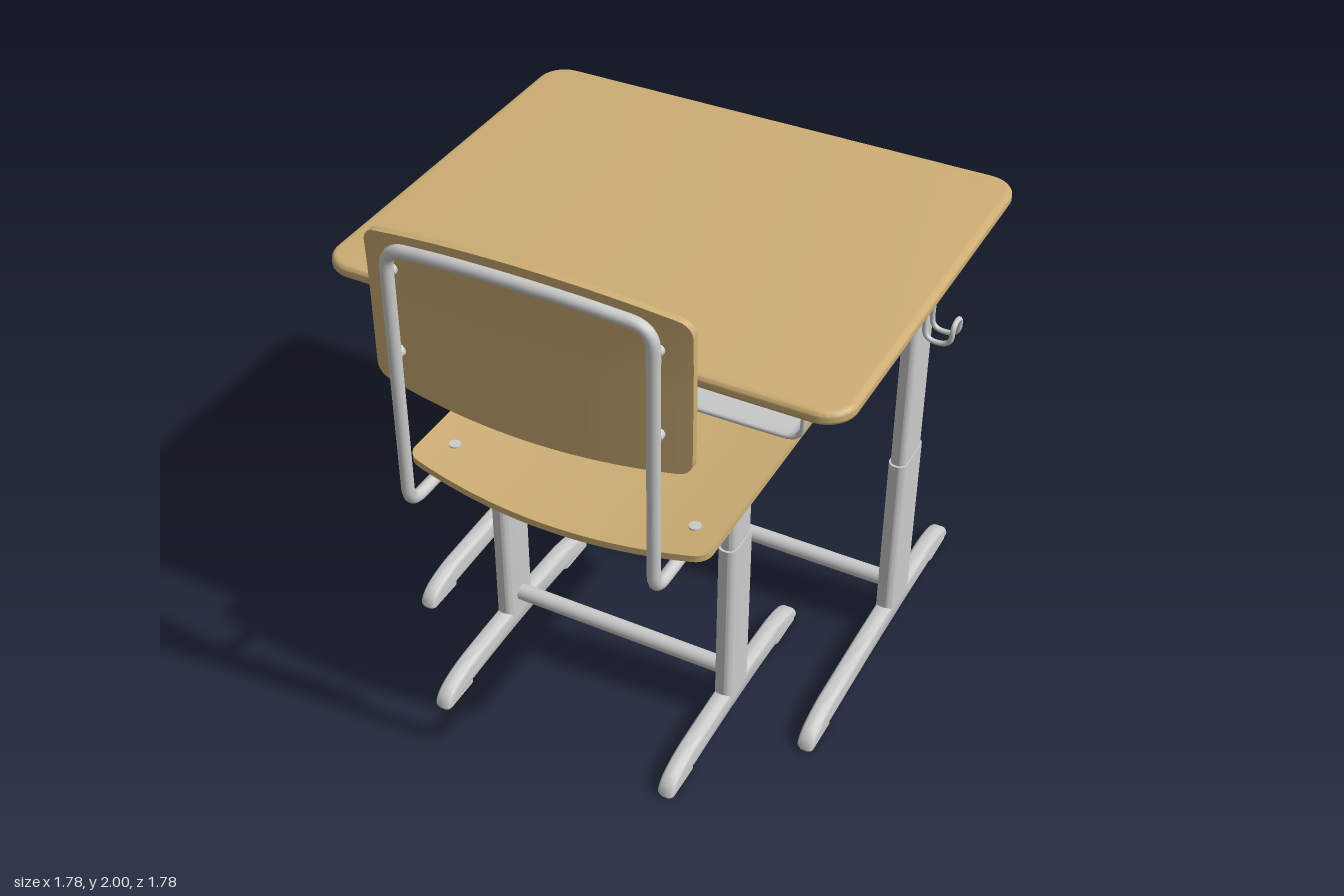
import * as THREE from 'three';
import { toCreasedNormals } from 'three/addons/utils/BufferGeometryUtils.js';

const metal = new THREE.MeshStandardMaterial({ color: 0xcccccc });
const sheet = new THREE.MeshStandardMaterial({ color: 0xcccccc, side: THREE.DoubleSide });
const wood = new THREE.MeshStandardMaterial({ color: 0xcdae74 });
const V = (x, y, z) => new THREE.Vector3(x, y, z);

function add(parent, name, geometry, material, x = 0, y = 0, z = 0) {
  const mesh = new THREE.Mesh(geometry, material);
  mesh.name = name;
  mesh.position.set(x, y, z);
  parent.add(mesh);
  return mesh;
}

// Rounded rectangle centred on the origin
function roundedRect(w, h, r) {
  const s = new THREE.Shape(), a = w / 2 - r, b = h / 2 - r;
  s.absarc(a, b, r, 0, Math.PI / 2);
  s.absarc(-a, b, r, Math.PI / 2, Math.PI);
  s.absarc(-a, -b, r, Math.PI, Math.PI * 1.5);
  s.absarc(a, -b, r, Math.PI * 1.5, Math.PI * 2);
  s.closePath();
  return s;
}

// Extrusion of total depth d, centred in depth; the bevel lies inside the outline
function extrude(shape, d, bevel = 0) {
  const g = new THREE.ExtrudeGeometry(shape, {
    depth: d - 2 * bevel, bevelEnabled: bevel > 0, bevelSize: bevel,
    bevelThickness: bevel, bevelOffset: -bevel, bevelSegments: 4, curveSegments: 10,
  });
  g.translate(0, 0, -d / 2 + bevel);
  return toCreasedNormals(g, 0.6);
}

// Skin over a list of equally long cross-sections
function loft(rings, closed, startCap, endCap) {
  const n = rings[0].length, last = (rings.length - 1) * n, index = [];
  for (let i = 0; i < rings.length - 1; i++) {
    for (let j = 0; j < (closed ? n : n - 1); j++) {
      const a = i * n + j, b = i * n + (j + 1) % n;
      index.push(a, b, a + n, b, b + n, a + n);
    }
  }
  for (let j = 1; j < n - 1; j++) {
    if (startCap) index.push(0, j + 1, j);
    if (endCap) index.push(last, last + j, last + j + 1);
  }
  const g = new THREE.BufferGeometry().setFromPoints(rings.flat());
  g.setIndex(index);
  return toCreasedNormals(g, 0.6);
}

// Polyline with rounded corners, swept into a tube; each point is [vector, corner radius]
function bentTube(points, radius, segments) {
  const path = new THREE.CurvePath();
  let from = points[0][0];
  for (let i = 1; i < points.length - 1; i++) {
    const [p, r] = points[i];
    const before = p.clone().add(points[i - 1][0].clone().sub(p).setLength(r));
    const after = p.clone().add(points[i + 1][0].clone().sub(p).setLength(r));
    path.add(new THREE.LineCurve3(from, before));
    path.add(new THREE.QuadraticBezierCurve3(before, p, after));
    from = after;
  }
  path.add(new THREE.LineCurve3(from, points[points.length - 1][0]));
  return new THREE.TubeGeometry(path, segments, radius, 12);
}

// Curved plywood: lo/hi give the outline at each x, place() bends it into space
const HALF = 0.53;
function plywood(lo, hi, place) {
  const rings = [], cols = 36, rows = 14, r = 0.04;
  for (let i = 0; i <= cols; i++) {
    const x = HALF * Math.sin((i / cols - 0.5) * Math.PI), q = (x / HALF) ** 2;
    const d = Math.max(0, Math.abs(x) - (HALF - r));
    const corner = r - Math.sqrt(Math.max(0, r * r - d * d));
    const a = lo(q) + corner, b = hi(q) - corner, ring = [];
    for (let k = 0; k <= rows; k++) ring.push(place(x, q, a + (b - a) * k / rows, 1));
    for (let k = rows; k >= 0; k--) ring.push(place(x, q, a + (b - a) * k / rows, -1));
    rings.push(ring);
  }
  return loft(rings, true, true, true);
}

// Runner foot with two floor pads, from z0 (back) to z1 (front)
function addFoot(parent, x, z0, z1) {
  const s = new THREE.Shape(), m = (z0 + z1) / 2;
  s.moveTo(z0, 0.012);
  s.bezierCurveTo(z0 + 0.005, 0.07, z0 + 0.08, 0.09, z0 + 0.18, 0.1);
  s.quadraticCurveTo(m, 0.115, z1 - 0.18, 0.1);
  s.bezierCurveTo(z1 - 0.08, 0.09, z1 - 0.005, 0.07, z1, 0.012);
  s.lineTo(z1 - 0.18, 0.012);
  s.quadraticCurveTo(m, 0.03, z0 + 0.18, 0.012);
  s.closePath();
  add(parent, 'foot', extrude(s, 0.06, 0.018).rotateY(-Math.PI / 2), metal, x);
  for (const z of [z0 + 0.09, z1 - 0.09])
    add(parent, 'footPad', extrude(roundedRect(0.05, 0.17, 0.02), 0.02).rotateX(-Math.PI / 2), metal, x, 0.01, z);
}

// Oval telescopic post: a sleeve below and a slimmer tube above
function addPost(parent, x, z, depth, top) {
  const oval = (w, d, h) => extrude(roundedRect(w, d, w * 0.45), h).rotateX(-Math.PI / 2);
  add(parent, 'postSleeve', oval(0.064, depth, 0.67), metal, x, 0.415, z);
  add(parent, 'postTube', oval(0.056, depth - 0.018, top - 0.7), metal, x, (top + 0.7) / 2, z);
}

function addCrossbar(parent, halfWidth, z) {
  add(parent, 'crossbar', new THREE.CylinderGeometry(0.03, 0.03, halfWidth * 2, 20).rotateZ(Math.PI / 2), metal, 0, 0.16, z);
}

function createDesk() {
  const desk = new THREE.Group();
  desk.name = 'desk';
  add(desk, 'deskTop', extrude(roundedRect(1.78, 1.46, 0.1), 0.048, 0.018).rotateX(-Math.PI / 2), wood, 0, 1.568, -0.16);

  // Storage tray, open towards the seat; each section is [z, half width, bottom, corner radius]
  const section = (z, hw, yb, r) => {
    const pts = [V(hw, 1.546, z)];
    for (const side of [1, -1]) for (let i = 0; i <= 6; i++) {
      const a = (side > 0 ? i : 6 - i) / 6 * Math.PI / 2;
      pts.push(V(side * (hw - r + r * Math.cos(a)), yb + r - r * Math.sin(a), z));
    }
    pts.push(V(-hw, 1.546, z));
    return pts;
  };
  const rings = [[0.43, 0.705, 1.357], [0.24, 0.705, 1.357], [0.23, 0.715, 1.349], [0.1, 0.715, 1.349], [0.09, 0.705, 1.357]]
    .map(([z, hw, yb]) => section(z, hw, yb, 0.05));
  for (let i = 0; i <= 6; i++) {
    const a = i / 6 * Math.PI / 2, c = 1 - Math.cos(a);
    rings.push(section(-0.69 - 0.07 * Math.sin(a), 0.705 - 0.07 * c, 1.357 + 0.035 * c, 0.05));
  }
  add(desk, 'tray', loft(rings, false, false, true), sheet);
  const rim = new THREE.CatmullRomCurve3(section(0.425, 0.705, 1.355, 0.05), false, 'centripetal');
  add(desk, 'trayRim', new THREE.TubeGeometry(rim, 80, 0.009, 8), metal);

  const z = -0.39;
  for (const s of [1, -1]) {
    addFoot(desk, s * 0.75, -0.89, 0.37);
    addPost(desk, s * 0.75, z, 0.185, 1.545);
    add(desk, 'mountingPlate', new THREE.CylinderGeometry(0.18, 0.17, 0.014, 32).scale(0.55, 1, 1), metal, s * 0.75, 1.539, z);
    // Flared bracket between post and tray
    const b = new THREE.Shape();
    b.moveTo(s * 0.74, 1.25);
    b.lineTo(s * 0.722, 1.25);
    b.quadraticCurveTo(s * 0.718, 1.34, s * 0.65, 1.346);
    b.lineTo(s * 0.65, 1.36);
    b.lineTo(s * 0.715, 1.4);
    b.lineTo(s * 0.715, 1.54);
    b.lineTo(s * 0.74, 1.54);
    b.closePath();
    add(desk, 'trayBracket', extrude(b, 0.19, 0.006), metal, 0, 0, z);
    // Bag hook bent from one wire
    const side = dz => [[V(s * 0.786, 1.51, z + dz), 0], [V(s * 0.786, 1.257, z + dz), 0.045], [V(s * 0.88, 1.257, z + dz), 0.045]];
    const hook = [...side(0.034), [V(s * 0.88, 1.335, z + 0.034), 0.032], [V(s * 0.88, 1.335, z - 0.034), 0.032], ...side(-0.034).reverse()];
    add(desk, 'bagHook', bentTube(hook, 0.009, 120), metal);
  }
  addCrossbar(desk, 0.74, z);
  return desk;
}

function createChair() {
  const chair = new THREE.Group(), t = 0.012, tubeX = 0.43;
  chair.name = 'chair';
  // Dished seat with a dropped front edge
  add(chair, 'seat', plywood(q => -0.23 + 0.05 * q, q => 0.75 - 0.06 * q, (x, q, z, side) =>
    V(x, 0.987 + 0.035 * q - 0.025 * (Math.max(0, -0.09 - z) / 0.14) ** 2 + side * t, z)), wood);
  // Backrest wrapping forwards at the sides
  add(chair, 'backrest', plywood(q => 1.385 + 0.04 * q, q => 2.0 - 0.06 * q, (x, q, y, side) =>
    V(x, y, 0.823 - 0.04 * q + 0.012 * Math.max(0, (y - 1.7) / 0.3) ** 2 - side * t)), wood);

  // One bent tube carries seat and backrest
  const half = s => [
    [V(s * tubeX, 0.975, -0.11), 0], [V(s * tubeX, 0.975, 0.84), 0.07],
    [V(s * tubeX, 1.925, 0.84), 0.07], [V(s * 0.22, 1.957, 0.866), 0.08],
  ];
  add(chair, 'frameTube', bentTube([...half(1), [V(0, 1.966, 0.873), 0.1], ...half(-1).reverse()], 0.021, 260), metal);

  for (const s of [1, -1]) {
    addFoot(chair, s * tubeX, -0.22, 0.77);
    addPost(chair, s * tubeX, 0.275, 0.16, 0.985);
    add(chair, 'tubeCap', new THREE.SphereGeometry(0.021, 12, 8), metal, s * tubeX, 0.975, -0.11);
    for (const z of [0.57, -0.05])
      add(chair, 'seatRivet', new THREE.CylinderGeometry(0.02, 0.02, 0.045, 16), metal, s * tubeX, 1.005, z);
    for (const y of [1.55, 1.84])
      add(chair, 'backRivet', new THREE.CylinderGeometry(0.02, 0.02, 0.055, 16).rotateX(Math.PI / 2), metal, s * tubeX, y, 0.803);
  }
  addCrossbar(chair, tubeX, 0.275);
  return chair;
}

export function createModel() {
  const model = new THREE.Group();
  model.name = 'schoolDeskAndChair';
  model.add(createDesk(), createChair());
  return model;
}
